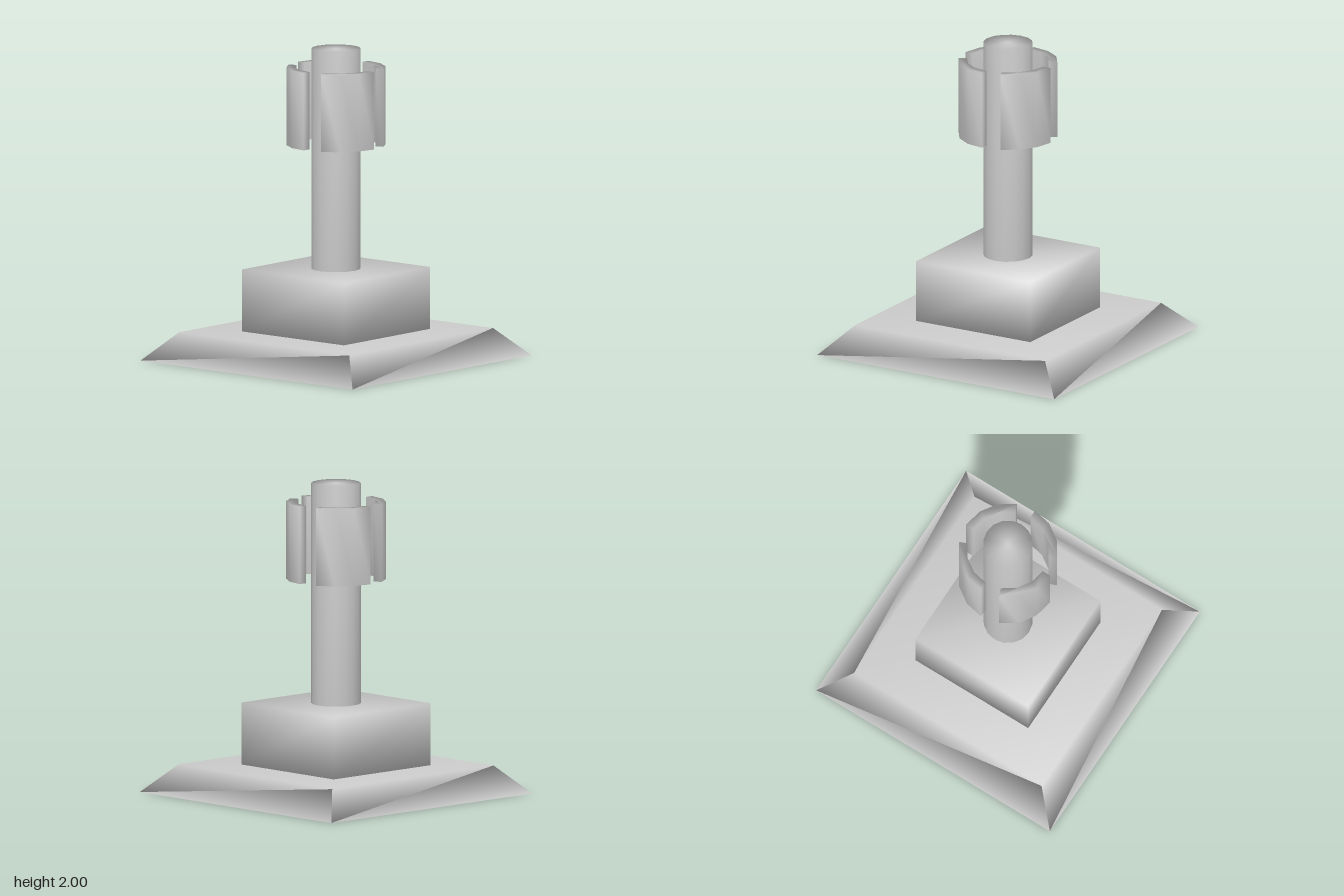
import * as THREE from 'three';
import { mergeVertices } from 'three/addons/utils/BufferGeometryUtils.js';

const material = new THREE.MeshStandardMaterial({ color: 0xcccccc });

// Weld shared corners so normals blend smoothly over every edge
function weld(geometry) {
  geometry.deleteAttribute('normal');
  geometry.deleteAttribute('uv');
  const welded = mergeVertices(geometry, 1e-4);
  welded.computeVertexNormals();
  return welded;
}

function addPart(parent, name, geometry, y) {
  const mesh = new THREE.Mesh(weld(geometry), material);
  mesh.name = name;
  mesh.position.y = y;
  parent.add(mesh);
  return mesh;
}

// Curved plate spanning three sides of a 16-sided ring
function plateGeometry(inner, outer, height) {
  const step = Math.PI / 8;
  const at = (r, i) => new THREE.Vector2(r * Math.cos(i * step), r * Math.sin(i * step));
  const points = [];
  for (let i = 1; i <= 4; i++) points.push(at(outer, i));
  for (let i = 4; i >= 1; i--) points.push(at(inner, i));
  const geometry = new THREE.ExtrudeGeometry(new THREE.Shape(points), { depth: height, bevelEnabled: false });
  return geometry.rotateX(-Math.PI / 2);
}

export function createModel() {
  const model = new THREE.Group();
  model.name = 'pedestalPost';

  // Sloped square base: a slab with its top corners drawn in
  const base = new THREE.BoxGeometry(1.77, 0.18, 1.77);
  const p = base.attributes.position;
  for (let i = 0; i < p.count; i++) {
    if (p.getY(i) > 0) p.setXYZ(i, p.getX(i) * 0.802, p.getY(i), p.getZ(i) * 0.802);
  }
  addPart(model, 'base', base, 0.09);

  // Square plinth and round post
  addPart(model, 'plinth', new THREE.BoxGeometry(0.852, 0.4, 0.852), 0.38);
  addPart(model, 'post', new THREE.CylinderGeometry(0.158, 0.158, 1.42, 16), 1.29);

  // Four curved plates floating around the post
  const ring = new THREE.Group();
  ring.name = 'plateRing';
  for (let i = 0; i < 4; i++) {
    addPart(ring, 'curvedPlate', plateGeometry(0.263, 0.318, 0.5), 1.38).rotation.y = i * Math.PI / 2;
  }
  model.add(ring);

  return model;
}
